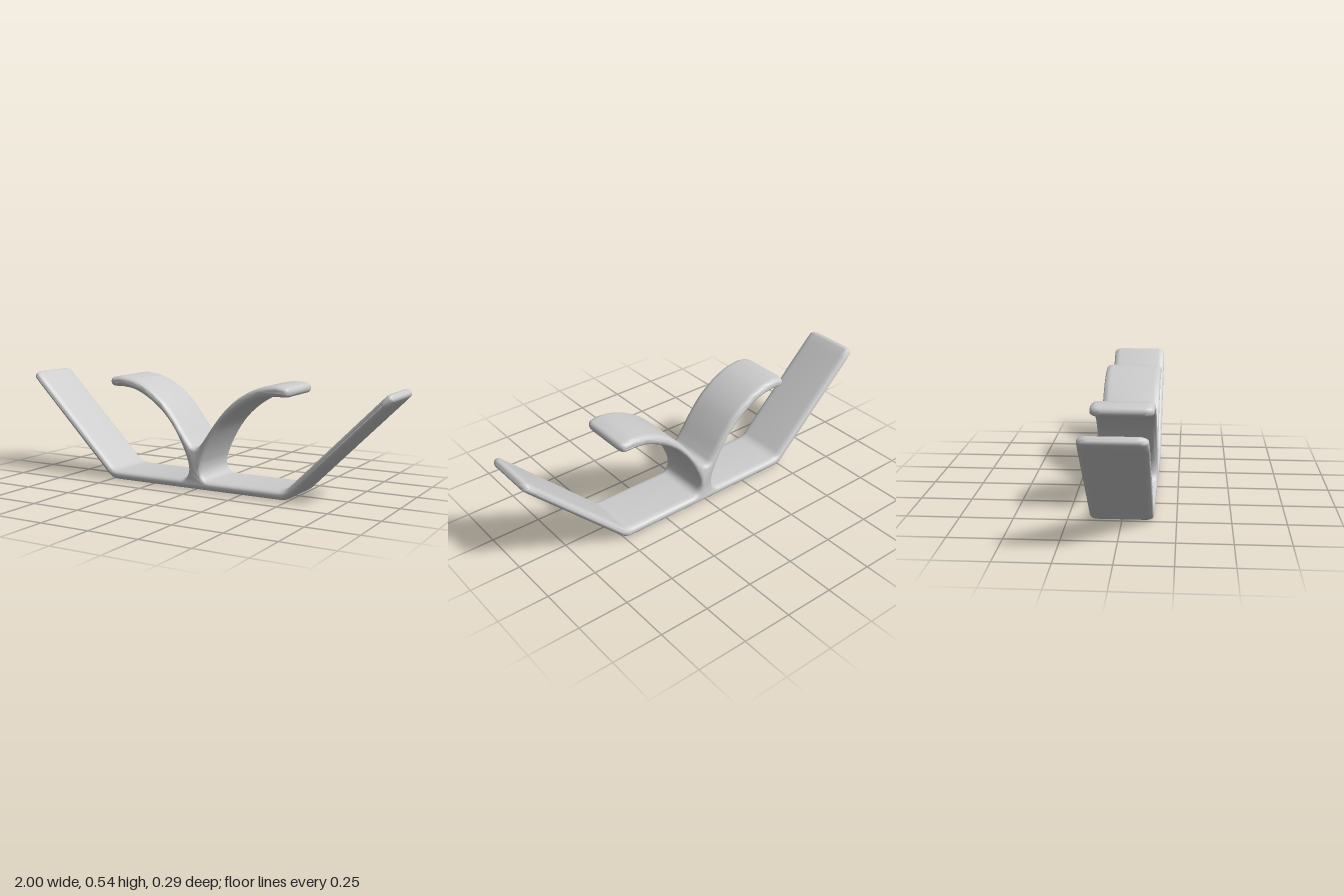
import * as THREE from 'three';
import { toCreasedNormals } from 'three/addons/utils/BufferGeometryUtils.js';

const HALF_DEPTH = 0.146;
const BEVEL = 0.019;
const BEVEL_DEPTH = 0.034;
const CORNER = 0.035;

const v = (x, y) => new THREE.Vector2(x, y);

// Smooth run of points through a few control points
const smooth = (pts, n) => new THREE.SplineCurve(pts.map(([x, y]) => v(x, y))).getPoints(n);

// Rounded bend
const bend = (a, c, b) => new THREE.QuadraticBezierCurve(v(...a), v(...c), v(...b)).getPoints(5);

// Half-round strip end, swept anticlockwise from angle a
function tip(cx, cy, r, a) {
  return Array.from({ length: 9 }, (_, i) => {
    const t = a + (Math.PI * i) / 8;
    return v(cx + r * Math.cos(t), cy + r * Math.sin(t));
  });
}

// Outline of the half on +x, from the bottom centre to the fork notch
function halfOutline() {
  return [
    // base underside and outer face of the slanted wing
    ...bend([0.465, 0], [0.505, 0], [0.54, 0.043]),
    v(0.95, 0.453), v(0.965, 0.468),
    ...tip(0.979, 0.512, 0.021, -Math.PI / 4),
    v(0.935, 0.498), v(0.92, 0.483),
    // inner face of the wing and top of the base
    ...bend([0.505, 0.068], [0.484, 0.047], [0.45, 0.047]),
    // fillet into the stem
    ...bend([0.08, 0.047], [0.039, 0.05], [0.037, 0.1]),
    // underside of the curled arm
    ...smooth([[0.042, 0.135], [0.07, 0.205], [0.125, 0.3], [0.19, 0.375],
      [0.27, 0.435], [0.35, 0.473], [0.42, 0.485], [0.455, 0.485]], 22),
    ...tip(0.479, 0.509, 0.024, -Math.PI / 2),
    // upper side of the curled arm, down to the fork
    ...smooth([[0.46, 0.536], [0.425, 0.538], [0.34, 0.522], [0.25, 0.478],
      [0.17, 0.413], [0.1, 0.328], [0.05, 0.256], [0.018, 0.215]], 22),
  ];
}

// Round the strip corners by narrowing the depth close to each free end
function roundEnds(geometry) {
  const p = geometry.attributes.position;
  for (let i = 0; i < p.count; i++) {
    const x = Math.abs(p.getX(i)), y = p.getY(i);
    let d = CORNER;
    if (x > 0.9) d = (0.979 + 0.512 - x - y) * Math.SQRT1_2 + 0.021;
    else if (y > 0.4 && x > 0.4 && x < 0.6) d = 0.503 - x;
    const k = Math.min(1, Math.max(0, 1 - d / CORNER));
    const inset = CORNER * (1 - Math.sqrt(1 - k * k)) * 0.7;
    p.setZ(i, p.getZ(i) * (1 - inset / HALF_DEPTH));
  }
}

export function createModel() {
  const group = new THREE.Group();
  group.name = 'forkedStripHolder';

  const grey = new THREE.MeshStandardMaterial({ color: 0xcccccc });
  grey.name = 'light grey';

  // Base, wings, stem and arms form one continuous bent strip
  const right = halfOutline();
  const left = right.slice().reverse().map((q) => v(-q.x, q.y));
  const shape = new THREE.Shape([v(0, 0), ...right, v(0, 0.208), ...left]);

  const depth = 2 * (HALF_DEPTH - BEVEL_DEPTH);
  const extruded = new THREE.ExtrudeGeometry(shape, {
    depth, bevelEnabled: true, bevelThickness: BEVEL_DEPTH, bevelSize: BEVEL,
    bevelOffset: -BEVEL, bevelSegments: 5, steps: 1,
  });
  extruded.translate(0, 0, -depth / 2);
  roundEnds(extruded);
  extruded.deleteAttribute('uv');

  const strip = new THREE.Mesh(toCreasedNormals(extruded, 0.8), grey);
  strip.name = 'bentStrip';
  group.add(strip);
  return group;
}
